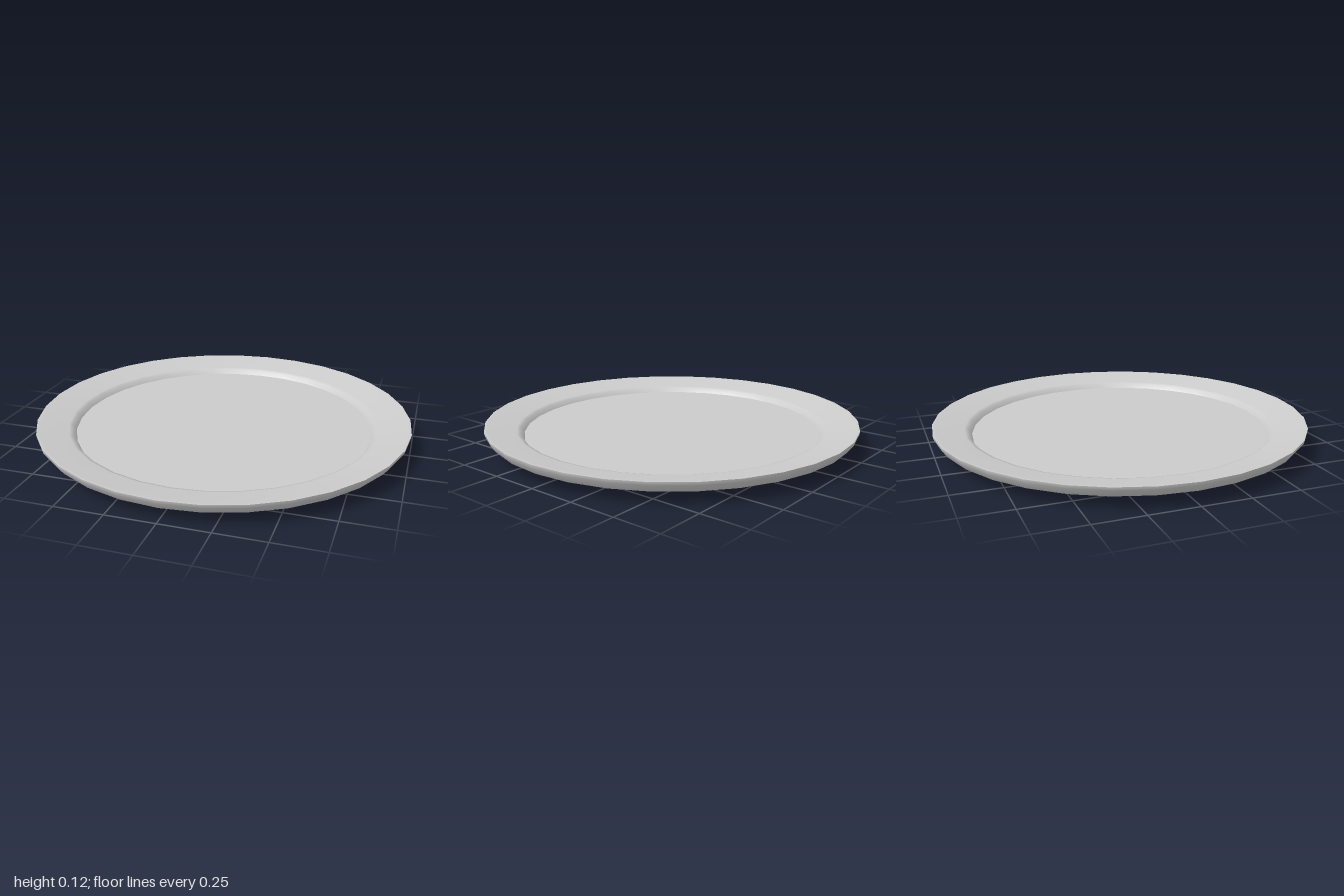
import * as THREE from 'three';

const SIDES = 32;

export function createModel() {
  const plate = new THREE.Group();
  plate.name = 'plate';
  const material = new THREE.MeshStandardMaterial({ color: 0xcccccc });

  // Each band is its own lathe, so edges between bands stay sharp.
  function band(name, profile) {
    const points = profile.map(([r, y]) => new THREE.Vector2(r, y));
    const mesh = new THREE.Mesh(new THREE.LatheGeometry(points, SIDES), material);
    mesh.name = name;
    plate.add(mesh);
  }

  // Flat foot the plate stands on
  band('footBottom', [[0, 0], [0.71, 0]]);

  // Foot wall flaring into the underside and rolling up to the lip
  band('underside', [
    [0.71, 0], [0.72, 0.005], [0.738, 0.026], [0.82, 0.051], [0.95, 0.055],
    [0.972, 0.062], [0.998, 0.098], [1, 0.115],
  ]);

  // Sloping upper rim, then the short step down to the well
  band('rim', [[1, 0.115], [0.985, 0.115], [0.9, 0.097], [0.835, 0.086], [0.815, 0.08], [0.797, 0.055]]);

  // Flat eating surface
  band('well', [[0.797, 0.055], [0, 0.055]]);

  return plate;
}
